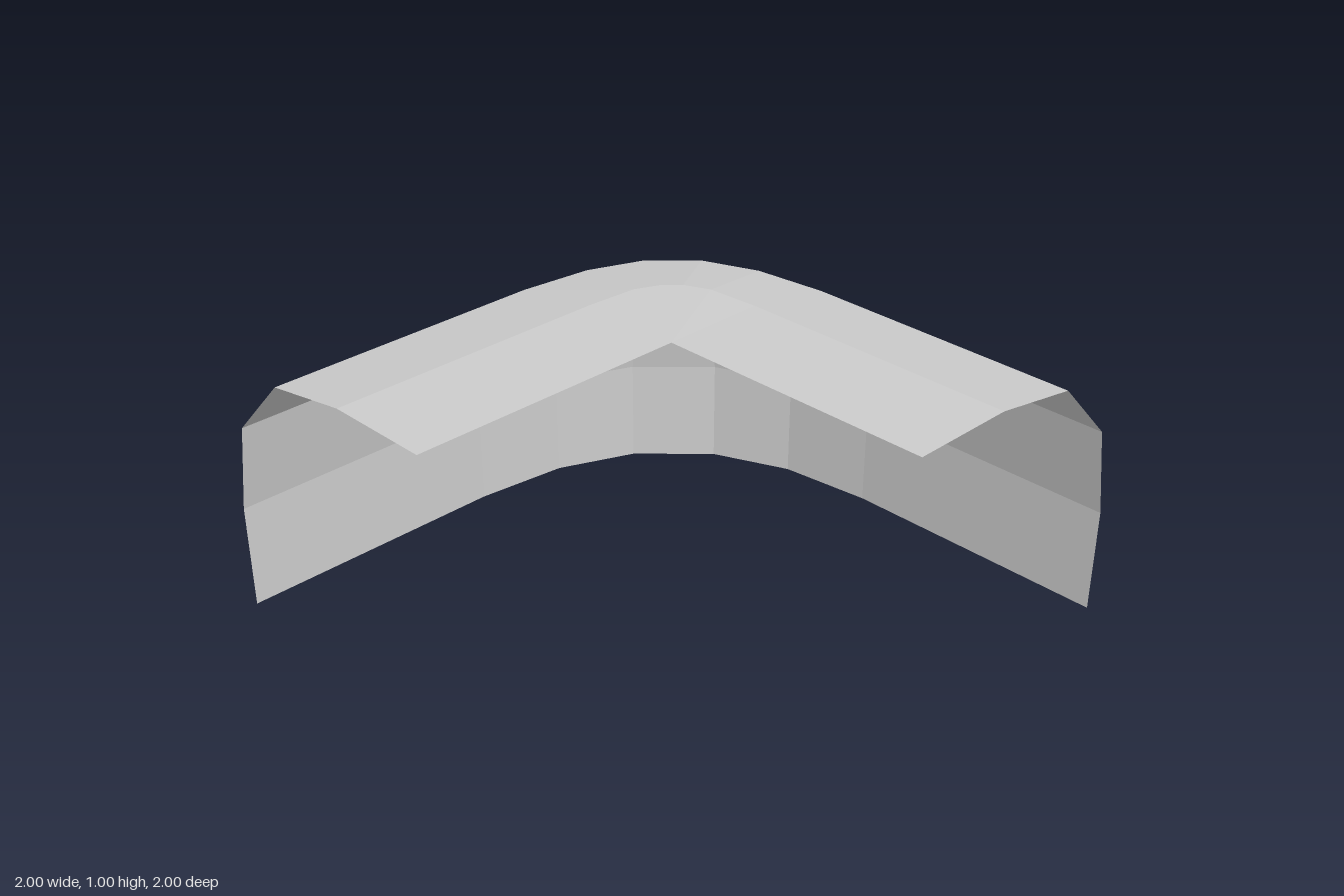
import * as THREE from 'three';

// Cross-section rings from the foot of the wall to the inner lip:
// r = distance out, y = height, a / b = the first two bend points (mirrored for the rest)
const rings = [
  { r: 1.0, y: 0, a: [0.96, 0.34], b: [0.84, 0.62] },
  { r: 1.0, y: 0.38, a: [0.96, 0.34], b: [0.84, 0.62] },
  { r: 0.94, y: 0.71, a: [0.91, 0.33], b: [0.79, 0.6] },
  { r: 0.71, y: 0.945, a: [0.68, 0.26], b: [0.6, 0.46] },
  { r: 0.38, y: 1.0, a: [0.36, 0.18], b: [0.32, 0.27], lift: 0.005 },
  { r: 0, y: 1.0, a: [0, 0], b: [0, 0] },
];

// Path of one ring: straight arm, rounded corner, straight arm
function ringPath({ r, y, a, b, lift = 0 }) {
  const p = (x, z, h = y) => new THREE.Vector3(x, h, z);
  return [
    p(-r, 1), p(-r, 0),
    p(-a[0], -a[1], y + lift), p(-b[0], -b[1], y + lift),
    p(-b[1], -b[0], y + lift), p(-a[1], -a[0], y + lift),
    p(0, -r), p(1, -r),
  ];
}

// Faceted skin between rings, for path steps from..to
function skin(from, to) {
  const paths = rings.map(ringPath);
  const pos = [];
  const tri = (a, b, c) => {
    const area = b.clone().sub(a).cross(c.clone().sub(a)).length();
    if (area > 1e-6) for (const v of [a, b, c]) pos.push(v.x, v.y, v.z);
  };
  for (let i = 0; i < rings.length - 1; i++) {
    for (let j = from; j < to; j++) {
      const a = paths[i][j], b = paths[i][j + 1];
      const c = paths[i + 1][j + 1], d = paths[i + 1][j];
      tri(a, d, c);
      tri(a, c, b);
    }
  }
  const g = new THREE.BufferGeometry();
  g.setAttribute('position', new THREE.Float32BufferAttribute(pos, 3));
  g.computeVertexNormals();
  return g;
}

export function createModel() {
  const group = new THREE.Group();
  group.name = 'curvedCornerPiece';
  const grey = new THREE.MeshStandardMaterial({
    color: 0xcccccc, flatShading: true, side: THREE.DoubleSide,
  });
  grey.name = 'light grey';

  // Two straight arms joined by the rounded bend
  const parts = { frontArm: [0, 1], cornerBend: [1, 6], sideArm: [6, 7] };
  for (const [name, [from, to]] of Object.entries(parts)) {
    const mesh = new THREE.Mesh(skin(from, to), grey);
    mesh.name = name;
    group.add(mesh);
  }
  return group;
}
